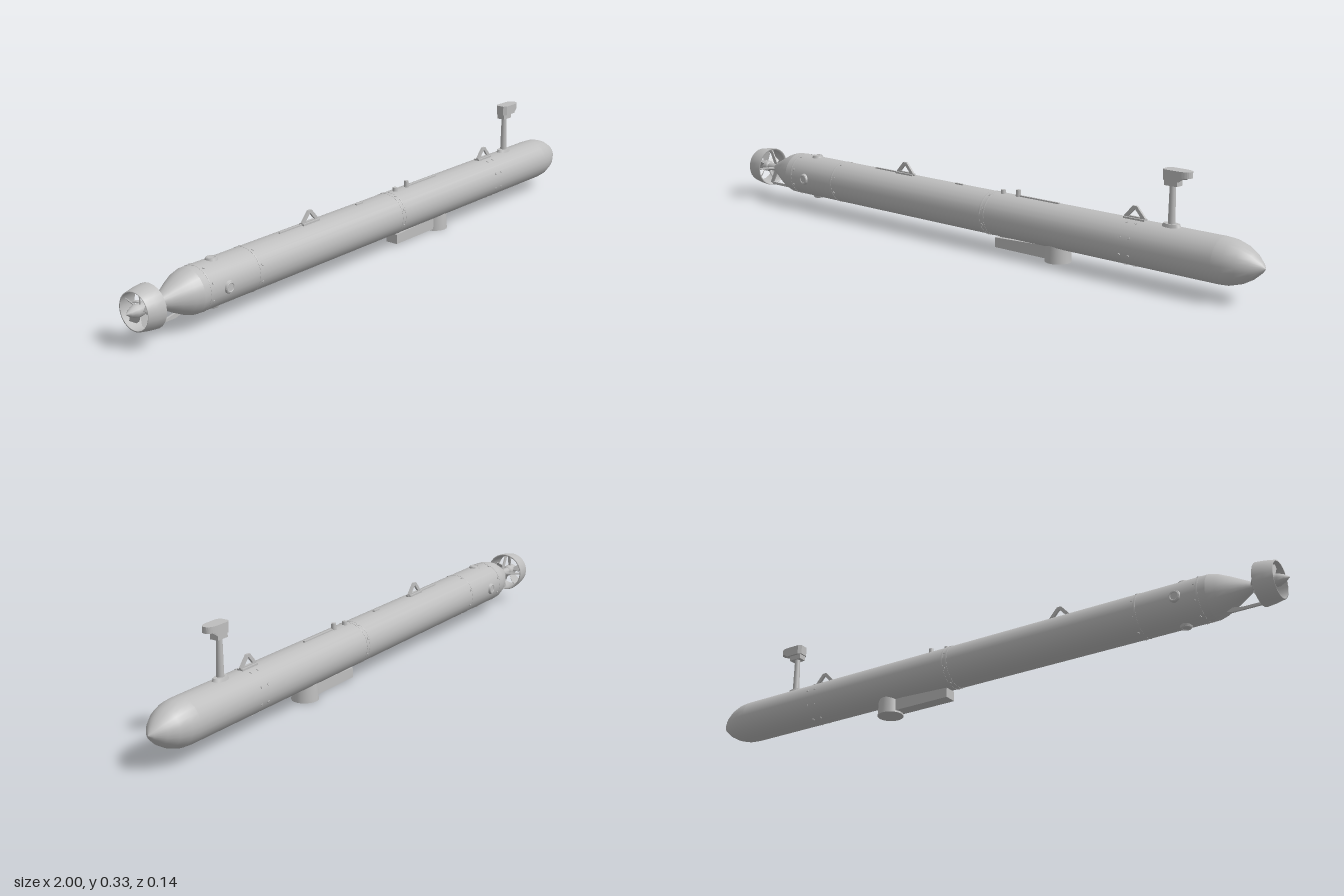
import * as THREE from 'three';

const AXIS_Y = 0.105, R = 0.0655;
const grey = new THREE.MeshStandardMaterial({ color: 0xbebebe, side: THREE.DoubleSide });
grey.name = 'hull grey';

function add(parent, name, geometry, x = 0, y = 0, z = 0) {
  const m = new THREE.Mesh(geometry, grey);
  m.name = name;
  m.position.set(x, y, z);
  parent.add(m);
  return m;
}

// Surface of revolution along x, from [x, radius] pairs
function turned(points, segments = 24, start = 0, sweep = Math.PI * 2) {
  const g = new THREE.LatheGeometry(points.map(([x, r]) => new THREE.Vector2(r, x)), segments, start, sweep);
  return g.rotateZ(-Math.PI / 2);
}

// Outline in x/y, given thickness along z and centred
function plate(points, depth, hole) {
  const s = new THREE.Shape(points.map(p => new THREE.Vector2(...p)));
  if (hole) s.holes.push(new THREE.Path(hole.map(p => new THREE.Vector2(...p))));
  return new THREE.ExtrudeGeometry(s, { depth, bevelEnabled: false }).translate(0, 0, -depth / 2);
}

export function createModel() {
  const model = new THREE.Group();
  model.name = 'underwater vehicle';
  const body = new THREE.Group();
  body.name = 'body';
  body.position.y = AXIS_Y;
  model.add(body);

  // Pressure hull, nose and tail cone
  add(body, 'hull', turned([[-0.78, R], [0.87, R]]));
  add(body, 'nose', turned([[0.87, R], [0.9, 0.0635], [0.935, 0.053], [0.965, 0.036], [0.99, 0.014], [1, 0]]));
  add(body, 'tailCone', turned([[-0.895, 0.013], [-0.882, 0.02], [-0.865, 0.029], [-0.835, 0.045], [-0.805, 0.059], [-0.78, R]]));
  add(body, 'tailShaft', turned([[-0.97, 0.012], [-0.88, 0.012]], 12));
  add(body, 'tailTip', turned([[-1, 0], [-0.985, 0.011], [-0.968, 0.018], [-0.935, 0.018], [-0.93, 0.012]], 12));

  // Joint rings between hull sections, with clamp screws
  for (const x of [-0.755, -0.565, 0.07, 0.085])
    add(body, 'jointRing', turned([[x - 0.003, R], [x - 0.003, R + 0.001], [x + 0.003, R + 0.001], [x + 0.003, R]]));
  for (const x of [-0.745, -0.555, 0.078, 0.575, 0.605]) {
    for (let i = 0; i < 8; i++) {
      const a = (i + 0.5) * Math.PI / 4;
      const screw = add(body, 'screw', new THREE.CylinderGeometry(0.004, 0.004, 0.003, 8), x, Math.cos(a) * R, Math.sin(a) * R);
      screw.rotation.x = a;
    }
  }

  // Round ports on four sides near the tail
  for (let i = 0; i < 4; i++) {
    const port = new THREE.Group();
    port.name = 'port';
    port.position.x = -0.69;
    port.rotation.x = i * Math.PI / 2;
    body.add(port);
    add(port, 'portCollar', new THREE.CylinderGeometry(0.016, 0.019, 0.008, 16), 0, R, 0);
    const rim = add(port, 'portRim', new THREE.TorusGeometry(0.013, 0.003, 6, 16), 0, R + 0.003, 0);
    rim.rotation.x = Math.PI / 2;
  }

  // Ducted propeller
  add(body, 'duct', turned([[-0.972, 0.052], [-0.972, 0.055], [-0.945, 0.06], [-0.916, 0.063], [-0.914, 0.06],
    [-0.92, 0.056], [-0.945, 0.054], [-0.972, 0.052]], 24));
  for (let i = 0; i < 5; i++) {
    const arm = new THREE.Group();
    arm.name = 'bladeArm';
    arm.position.x = -0.95;
    arm.rotation.x = i * Math.PI * 2 / 5;
    body.add(arm);
    const blade = add(arm, 'propellerBlade', plate([[-0.007, 0], [0.007, 0], [0.014, 0.025], [0.01, 0.036], [-0.01, 0.036], [-0.014, 0.025]], 0.003), 0, 0.015, 0);
    blade.rotation.y = Math.PI / 4;
  }
  // Stator struts holding the duct
  for (let i = 0; i < 4; i++) {
    const arm = new THREE.Group();
    arm.name = 'strutArm';
    arm.rotation.x = i * Math.PI / 2;
    body.add(arm);
    add(arm, 'ductStrut', plate([[-0.89, 0.01], [-0.905, 0.01], [-0.928, 0.056], [-0.915, 0.057]], 0.004));
  }
  // Lower bracket between duct and hull
  add(body, 'tailBracket', plate([[-0.92, -0.06], [-0.83, -0.06], [-0.81, -0.054], [-0.83, -0.046], [-0.86, -0.052], [-0.92, -0.052]], 0.006));

  // Lifting eyes
  for (const x of [-0.29, 0.585]) {
    add(body, 'liftingEye', plate([[-0.035, 0.06], [0.035, 0.06], [0.035, 0.072], [0.007, 0.103], [-0.007, 0.103], [-0.035, 0.072]],
      0.007, [[-0.02, 0.073], [0, 0.095], [0.02, 0.073]]), x, 0, 0);
    add(body, 'liftingEyeFoot', new THREE.BoxGeometry(0.07, 0.008, 0.018), x, R, 0);
  }

  // Cable strips and small connectors along the top
  for (const [x0, x1] of [[-0.42, -0.25], [-0.08, -0.05], [0.16, 0.32]])
    add(body, 'cableStrip', new THREE.BoxGeometry(x1 - x0, 0.005, 0.006), (x0 + x1) / 2, R + 0.001, 0);
  for (const [x, h] of [[0.11, 0.014], [0.168, 0.022]]) {
    add(body, 'connector', new THREE.CylinderGeometry(0.007, 0.008, h, 12), x, R + h / 2 - 0.003, 0);
  }

  // Antenna mast
  add(model, 'mastFoot', new THREE.CylinderGeometry(0.016, 0.02, 0.012, 16).scale(1.6, 1, 0.9), 0.705, 0.172, 0);
  add(model, 'mast', new THREE.CylinderGeometry(0.0085, 0.011, 0.13, 16), 0.705, 0.225, 0);
  add(model, 'mastNeck', new THREE.BoxGeometry(0.042, 0.018, 0.026), 0.706, 0.293, 0);
  // Rounded head with a sloping underside at its front
  const head = new THREE.Shape();
  head.moveTo(0.68, -0.012).lineTo(0.69, -0.02).lineTo(0.735, -0.02);
  head.quadraticCurveTo(0.765, -0.018, 0.765, 0);
  head.quadraticCurveTo(0.765, 0.018, 0.735, 0.02);
  head.lineTo(0.69, 0.02).lineTo(0.68, 0.012);
  const headGeometry = new THREE.ExtrudeGeometry(head, { depth: 0.03, bevelEnabled: false, curveSegments: 6 })
    .rotateX(-Math.PI / 2);
  const p = headGeometry.attributes.position;
  for (let i = 0; i < p.count; i++)
    if (p.getY(i) < 0.01 && p.getX(i) > 0.736) p.setY(i, 0.012);
  headGeometry.computeVertexNormals();
  add(model, 'mastHead', headGeometry, 0, 0.299, 0);

  // Sensor keel under the hull: bar with a round pod at the front
  add(model, 'keelBar', plate([[0.095, 0.006], [0.3, 0.006], [0.3, 0.05], [0.26, 0.043], [0.095, 0.036]], 0.04));
  add(model, 'keelSpacer', new THREE.BoxGeometry(0.17, 0.02, 0.016), 0.19, 0.04, 0);
  add(model, 'keelPod', new THREE.CylinderGeometry(0.037, 0.04, 0.055, 24), 0.318, 0.0275, 0);

  return model;
}
